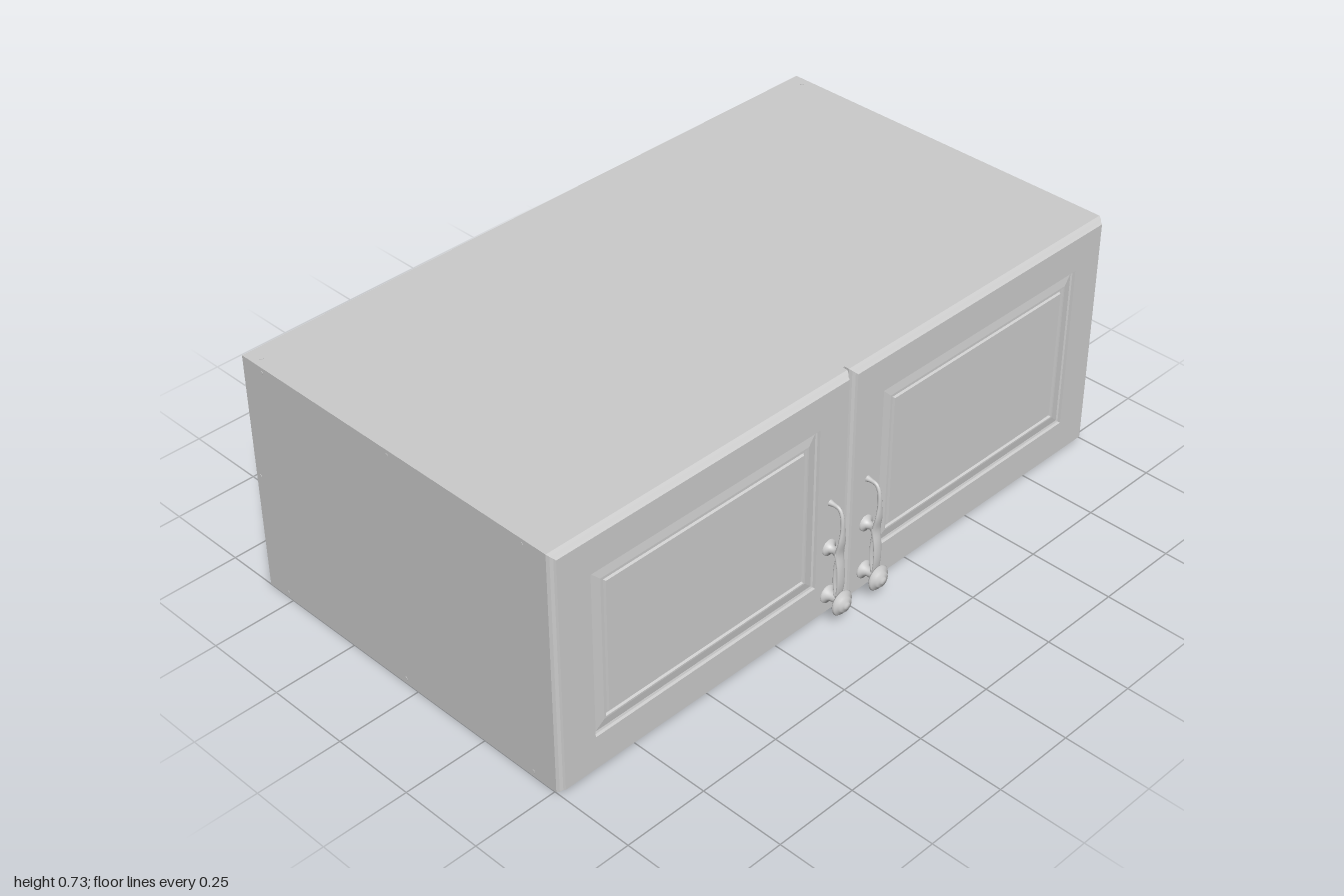
import * as THREE from 'three';

const material = new THREE.MeshStandardMaterial({ color: 0xcccccc, side: THREE.DoubleSide });
const W = 2, H = 0.73, BACK = -0.595, FRONT = 0.49, T = 0.036;

function add(parent, name, geometry, x = 0, y = 0, z = 0) {
  const mesh = new THREE.Mesh(geometry, material);
  mesh.name = name;
  mesh.position.set(x, y, z);
  parent.add(mesh);
  return mesh;
}

// box given by its limits
function board(parent, name, x0, x1, y0, y1, z0, z1) {
  return add(parent, name, new THREE.BoxGeometry(x1 - x0, y1 - y0, z1 - z0),
    (x0 + x1) / 2, (y0 + y1) / 2, (z0 + z1) / 2);
}

// faceted skin through closed loops of points, capped at both ends
function skin(loops) {
  const pos = [];
  const tri = (a, b, c) => pos.push(...a, ...b, ...c);
  const n = loops[0].length;
  for (let k = 0; k < loops.length - 1; k++) {
    for (let i = 0; i < n; i++) {
      const j = (i + 1) % n, a = loops[k], b = loops[k + 1];
      tri(a[i], a[j], b[j]);
      tri(a[i], b[j], b[i]);
    }
  }
  const first = loops[0], last = loops[loops.length - 1];
  for (let i = 1; i < n - 1; i++) {
    tri(first[0], first[i + 1], first[i]);
    tri(last[0], last[i], last[i + 1]);
  }
  const g = new THREE.BufferGeometry();
  g.setAttribute('position', new THREE.Float32BufferAttribute(pos, 3));
  g.computeVertexNormals();
  return g;
}

// door: concentric rectangles [inset, z], from the rear edge to the raised centre panel
function doorGeometry() {
  const x0 = 0.003, x1 = 1, y0 = 0.002, y1 = 0.73;
  const rect = (ix, iy, z) => [[x0 + ix, y0 + iy, z], [x1 - ix, y0 + iy, z],
    [x1 - ix, y1 - iy, z], [x0 + ix, y1 - iy, z]];
  const edge = [[0, FRONT], [0, 0.505], [0.004, 0.513], [0.010, 0.519], [0.013, 0.525]];
  const panel = [[0.114, 0.525], [0.116, 0.518], [0.122, 0.516], [0.148, 0.520],
    [0.153, 0.520], [0.156, 0.514], [0.162, 0.514], [0.165, 0.520]];
  return skin([...edge, ...panel].map(([d, z]) => rect(d, d, z)));
}

// strap: path points [y, z, half width, half thickness] with oval sections
function strapGeometry(points, steps = 40, sides = 12) {
  const path = new THREE.CatmullRomCurve3(points.map(p => new THREE.Vector3(0, p[0], p[1])));
  const sizes = new THREE.CatmullRomCurve3(points.map(p => new THREE.Vector3(p[2], p[3], 0)));
  const g = new THREE.BufferGeometry();
  const pos = [], index = [];
  for (let k = 0; k <= steps; k++) {
    const p = path.getPoint(k / steps), t = path.getTangent(k / steps), s = sizes.getPoint(k / steps);
    for (let i = 0; i < sides; i++) {
      const a = (i / sides) * Math.PI * 2, u = Math.sin(a) * s.y;
      pos.push(Math.cos(a) * s.x, p.y - t.z * u, p.z + t.y * u);
      if (k < steps) {
        const j = (i + 1) % sides, q = k * sides;
        index.push(q + i, q + j, q + sides + j, q + i, q + sides + j, q + sides + i);
      }
    }
  }
  g.setAttribute('position', new THREE.Float32BufferAttribute(pos, 3));
  g.setIndex(index);
  g.computeVertexNormals();
  return g;
}

// turned part with its axis along +z, profile [radius, z]
function turned(profile) {
  return new THREE.LatheGeometry(profile.map(p => new THREE.Vector2(...p)), 28).rotateX(Math.PI / 2);
}

function createHandle() {
  const handle = new THREE.Group();
  handle.name = 'handle';
  // round knob at the lower end
  add(handle, 'knob', turned([[0.026, 0], [0.026, 0.004], [0.016, 0.009], [0.012, 0.018], [0.012, 0.034],
    [0.018, 0.042], [0.034, 0.047], [0.037, 0.051], [0.034, 0.055], [0.024, 0.060],
    [0.021, 0.066], [0.012, 0.067], [0.009, 0.072], [0, 0.073]]), 0, 0.072, 0.525);
  // long strap hooking back to the door at the top
  add(handle, 'strap', strapGeometry([[0.368, 0.522, 0.010, 0.010], [0.368, 0.538, 0.006, 0.006],
    [0.364, 0.555, 0.005, 0.006], [0.345, 0.566, 0.006, 0.005], [0.300, 0.569, 0.008, 0.005],
    [0.265, 0.568, 0.014, 0.005], [0.225, 0.561, 0.016, 0.006], [0.180, 0.567, 0.015, 0.005],
    [0.130, 0.569, 0.015, 0.004], [0.085, 0.564, 0.013, 0.004]]));
  // rear curl between the middle post and the knob
  add(handle, 'curl', strapGeometry([[0.255, 0.558, 0.010, 0.003], [0.225, 0.561, 0.013, 0.004],
    [0.180, 0.554, 0.012, 0.004], [0.130, 0.553, 0.011, 0.004], [0.085, 0.558, 0.010, 0.004]], 20));
  // middle post
  add(handle, 'post', turned([[0.024, 0], [0.023, 0.004], [0.012, 0.010], [0.010, 0.022],
    [0.015, 0.032], [0.018, 0.037], [0, 0.040]]), 0, 0.225, 0.525);
  return handle;
}

export function createModel() {
  const model = new THREE.Group();
  model.name = 'wallCabinet';

  // carcass
  const carcass = new THREE.Group();
  carcass.name = 'carcass';
  model.add(carcass);
  board(carcass, 'leftSide', 1 - T, 1, 0, H, BACK, FRONT);
  board(carcass, 'rightSide', -1, T - 1, 0, H, BACK, FRONT);
  board(carcass, 'topBoard', T - 1, 1 - T, H - T, H, BACK, FRONT);
  board(carcass, 'bottomBoard', T - 1, 1 - T, 0, T, BACK, FRONT);
  board(carcass, 'backRail', T - 1, 1 - T, 0.295, 0.437, BACK, BACK + 0.04);
  board(carcass, 'backPanel', T - 1, 1 - T, T, H - T, BACK + 0.04, BACK + 0.052);

  // screw caps on the sides and top
  const screw = new THREE.CylinderGeometry(0.006, 0.006, 0.004, 16);
  const sideScrews = [[-0.58, 0.365]];
  for (const z of [0.425, -0.045, -0.52]) sideScrews.push([z, 0.016], [z, 0.714]);
  for (const s of [-1, 1]) {
    for (const [z, y] of sideScrews) add(carcass, 'screwCap', screw, s * 0.999, y, z).rotation.z = Math.PI / 2;
    add(carcass, 'screwCap', screw, s * 0.975, H - 0.001, -0.55);
  }

  // pair of doors, each with its handle near the middle
  const left = doorGeometry();
  for (const s of [1, -1]) {
    const door = new THREE.Group();
    door.name = s > 0 ? 'leftDoor' : 'rightDoor';
    add(door, 'doorPanel', left, s > 0 ? 0 : -1.003);
    const handle = createHandle();
    handle.position.x = s * 0.07;
    door.add(handle);
    model.add(door);
  }
  return model;
}
